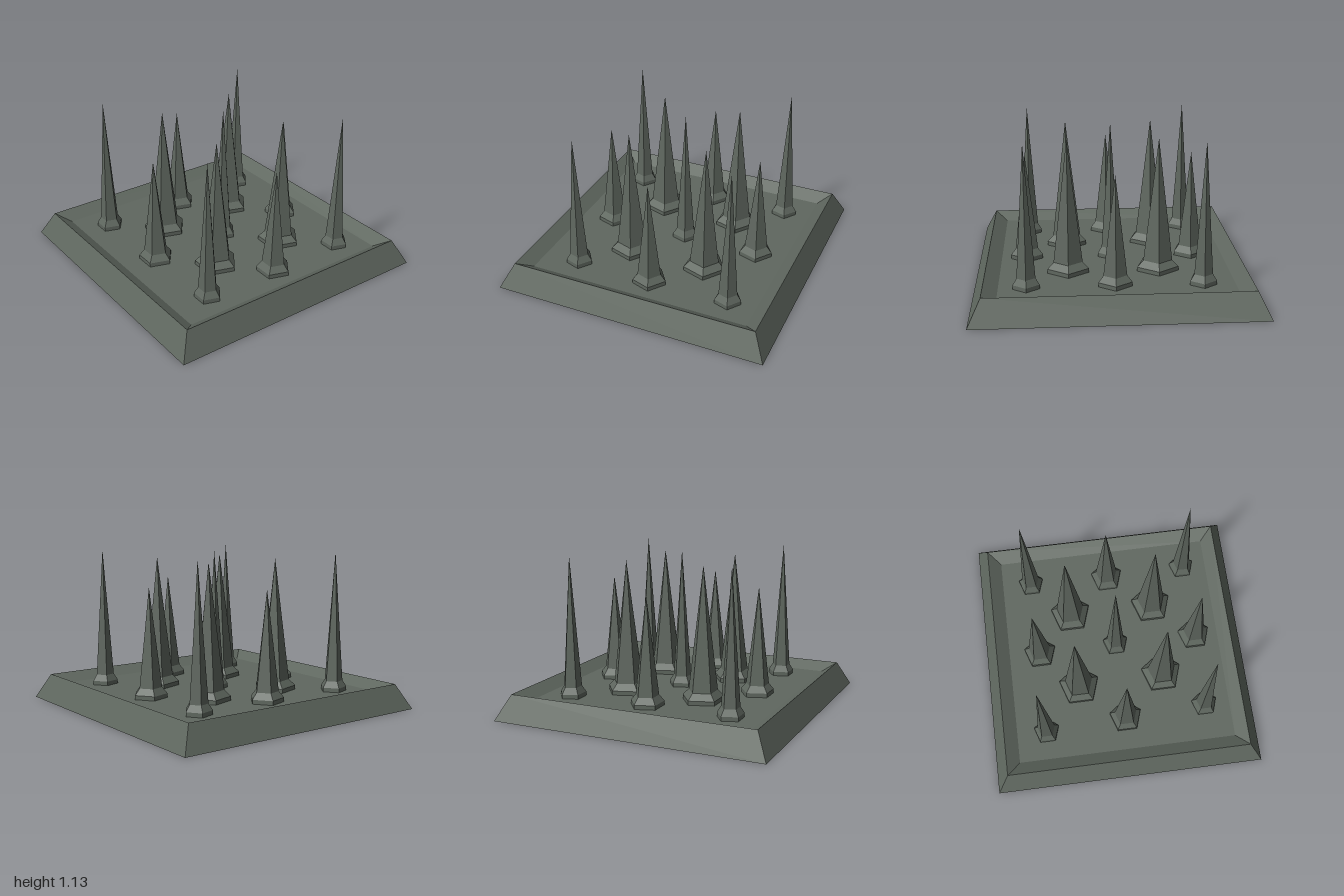
import * as THREE from 'three';

const stone = new THREE.MeshStandardMaterial({ color: 0x5f675f, flatShading: true });
stone.name = 'greyGreenStone';

// Faceted solid turned from [radius, height] points
function turned(name, points, sides, scale = 1) {
  const profile = points.map(([r, y]) => new THREE.Vector2(r * scale, y));
  const mesh = new THREE.Mesh(new THREE.LatheGeometry(profile, sides), stone);
  mesh.name = name;
  return mesh;
}

// Spike sizes: collar radius, tip height, underside height
const SMALL = { r: 0.097, tip: 1.13, foot: 0.072 };
const MEDIUM = { r: 0.123, tip: 0.9, foot: 0.1 };
const LARGE = { r: 0.155, tip: 1.08, foot: 0.072 };

// Spike positions: size, x, z
const SPIKES = [
  [SMALL, -0.59, -0.61], [MEDIUM, 0.015, -0.592], [SMALL, 0.622, -0.608],
  [LARGE, -0.306, -0.315], [LARGE, 0.332, -0.315],
  [MEDIUM, -0.577, -0.022], [SMALL, 0.014, -0.028], [MEDIUM, 0.63, -0.022],
  [LARGE, -0.306, 0.28], [LARGE, 0.332, 0.26],
  [SMALL, -0.59, 0.602], [MEDIUM, 0.015, 0.568], [SMALL, 0.622, 0.542],
];

export function createModel() {
  const group = new THREE.Group();
  group.name = 'spikeTrap';

  // Square frame with sloping sides, as a four-sided closed ring
  const frame = turned('frame', [
    [0.8, 0.08], [0.87, 0], [1, 0], [0.91, 0.18], [0.815, 0.12],
  ], 4, Math.SQRT2);
  frame.rotation.y = Math.PI / 4;
  group.add(frame);

  // Sunken floor plate
  const floor = new THREE.Mesh(new THREE.BoxGeometry(1.63, 0.04, 1.63), stone);
  floor.name = 'floorPlate';
  floor.position.y = 0.1;
  group.add(floor);

  // Five-sided spikes, each on a bevelled collar
  for (const [size, x, z] of SPIKES) {
    const { r, tip, foot } = size;
    const spike = turned('spike', [
      [0, foot], [r, foot], [r, 0.15], [r * 0.7, 0.195], [0, tip],
    ], 5);
    spike.rotation.y = Math.PI;
    spike.position.set(x, 0, z);
    group.add(spike);
  }
  return group;
}
